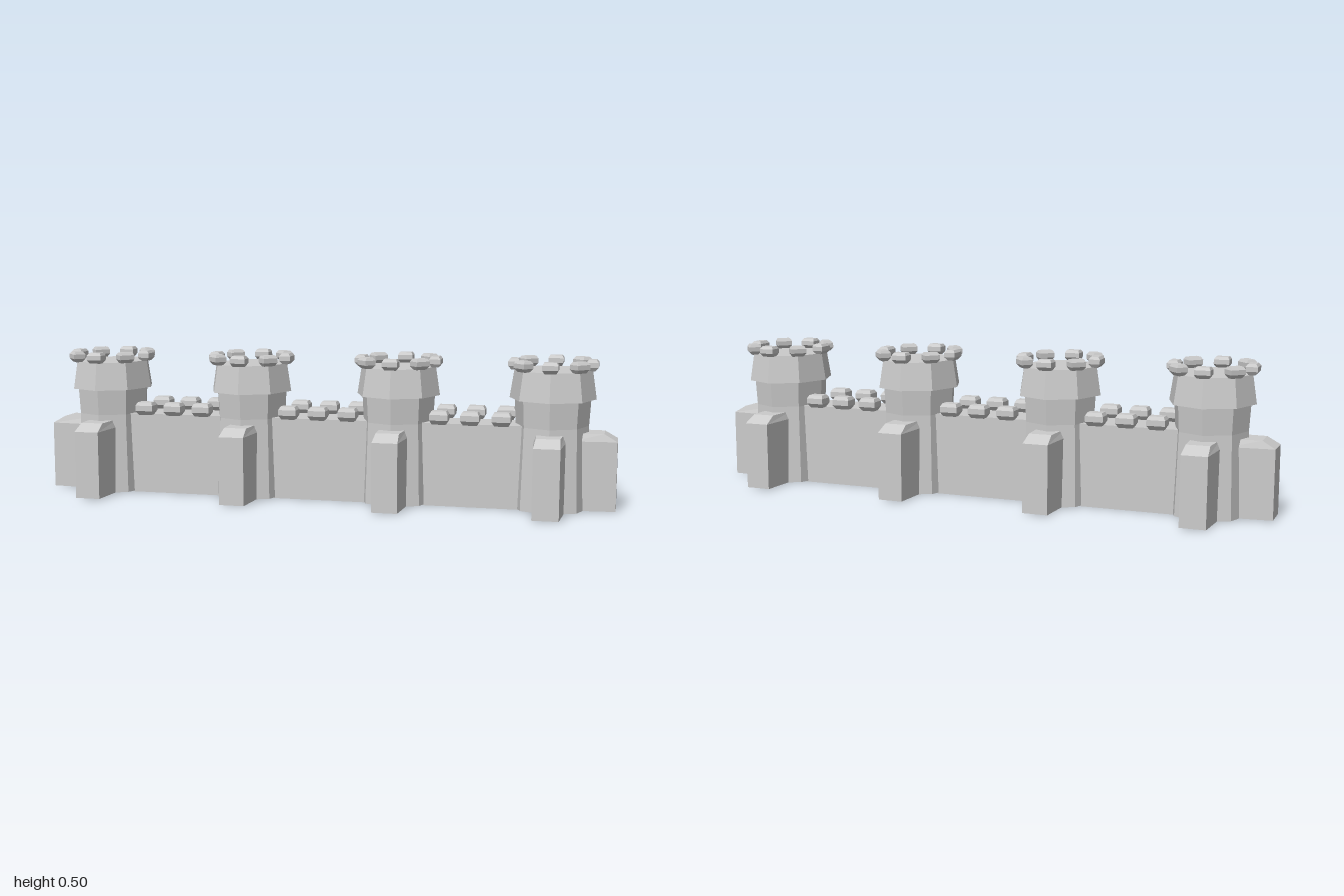
import * as THREE from 'three';

const material = new THREE.MeshStandardMaterial({ color: 0xcccccc, flatShading: true });

function addMesh(parent, geometry, name) {
  const mesh = new THREE.Mesh(geometry, material);
  mesh.name = name;
  parent.add(mesh);
  return mesh;
}

// Solid through stacked four-cornered loops, each { y, pts: [[x, z] * 4] }
// with corners running front-left, front-right, back-right, back-left.
function loft(loops) {
  const pos = [];
  const index = [];
  for (const { y, pts } of loops) for (const [x, z] of pts) pos.push(x, y, z);
  for (let l = 0; l < loops.length - 1; l++) {
    for (let i = 0; i < 4; i++) {
      const a = l * 4 + i;
      const b = l * 4 + (i + 1) % 4;
      index.push(a, b, b + 4, a, b + 4, a + 4);
    }
  }
  const t = (loops.length - 1) * 4;
  index.push(t, t + 1, t + 2, t, t + 2, t + 3, 0, 2, 1, 0, 3, 2);
  const geometry = new THREE.BufferGeometry();
  geometry.setAttribute('position', new THREE.Float32BufferAttribute(pos, 3));
  geometry.setIndex(index);
  const flat = geometry.toNonIndexed();
  flat.computeVertexNormals();
  return flat;
}

// Trapezoid in plan, from half width wi at z = zi to wo at z = zo
const plan = (y, wi, zi, wo, zo) => ({ y, pts: [[-wo, zo], [wo, zo], [wi, zi], [-wi, zi]] });
const rect = (y, hx, hz) => plan(y, hx, -hz, hx, hz);

// Battlement block, chamfered at top and bottom
function merlonGeometry(hx, hz, h) {
  return loft([
    rect(0, hx - 0.008, hz - 0.012),
    rect(h * 0.33, hx, hz),
    rect(h * 0.75, hx, hz),
    rect(h, hx - 0.006, hz - 0.008),
  ]);
}

const BASE = 0.003;
const TOWER_X = [-0.784, -0.262, 0.262, 0.784];

// Eight-sided section between two heights
function octagon(parent, rBottom, rTop, y0, y1, name) {
  const geometry = new THREE.CylinderGeometry(rTop, rBottom, y1 - y0, 8);
  addMesh(parent, geometry, name).position.y = (y0 + y1) / 2;
}

function createTower(endSide) {
  const tower = new THREE.Group();
  tower.name = 'tower';
  octagon(tower, 0.151, 0.14, BASE, 0.28, 'towerBase');
  octagon(tower, 0.14, 0.146, 0.28, 0.369, 'towerNeck');
  octagon(tower, 0.166, 0.149, 0.369, 0.465, 'towerCollar');

  // Ring of battlements on the corners
  const merlon = merlonGeometry(0.03, 0.023, 0.037);
  for (let i = 0; i < 8; i++) {
    const a = i * Math.PI / 4;
    const mesh = addMesh(tower, merlon, 'towerMerlon');
    mesh.position.set(Math.sin(a) * 0.148, 0.464, Math.cos(a) * 0.148);
    mesh.rotation.y = a;
  }

  // Buttresses front and back, plus one outward on the end towers
  const buttress = loft([
    plan(BASE, 0.063, 0.08, 0.05, 0.25),
    plan(0.235, 0.063, 0.08, 0.05, 0.25),
    plan(0.26, 0.052, 0.08, 0.045, 0.2),
  ]);
  const angles = [0, Math.PI];
  if (endSide) angles.push(endSide * Math.PI / 2);
  for (const a of angles) addMesh(tower, buttress, 'buttress').rotation.y = a;

  // Towers are slightly narrower along the wall
  tower.scale.x = 0.864;
  return tower;
}

export function createModel() {
  const model = new THREE.Group();
  model.name = 'castleWall';

  TOWER_X.forEach((x, i) => {
    const tower = createTower(i === 0 ? -1 : i === 3 ? 1 : 0);
    tower.position.x = x;
    model.add(tower);
  });

  // Curtain wall running through all towers
  addMesh(model, new THREE.BoxGeometry(1.568, 0.282, 0.15), 'curtainWall').position.y = 0.141;

  // Three pairs of battlements between neighbouring towers
  const merlon = merlonGeometry(0.031, 0.026, 0.045);
  for (const mid of [-0.521, 0, 0.521]) {
    for (const dx of [-0.104, 0, 0.104]) {
      for (const side of [-1, 1]) {
        addMesh(model, merlon, 'wallMerlon').position.set(mid + dx, 0.281, side * 0.087);
      }
    }
  }
  return model;
}
